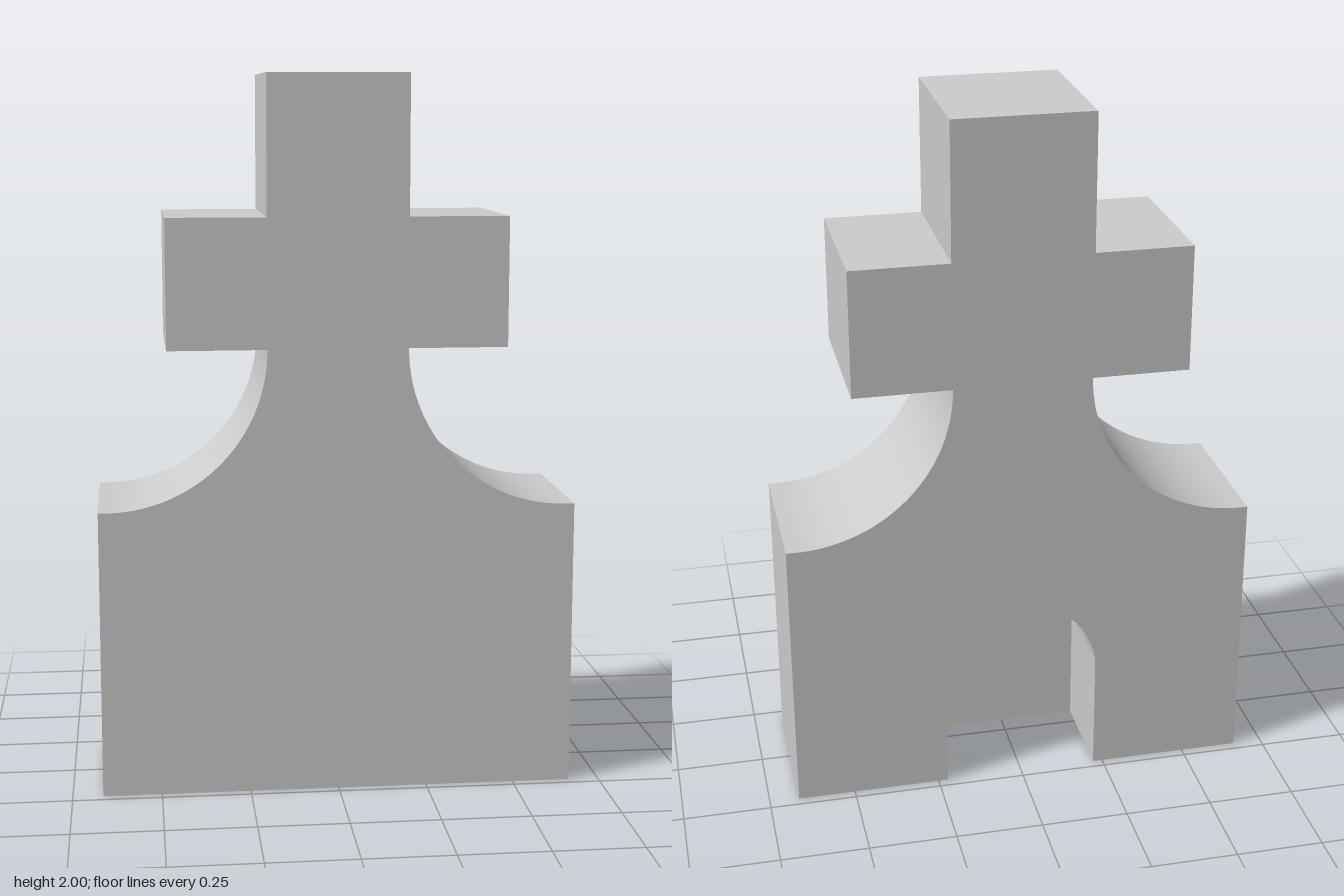
import * as THREE from 'three';
import { mergeGeometries, toCreasedNormals } from 'three/addons/utils/BufferGeometryUtils.js';

const FRONT = 0.223, BACK = -0.223, RECESS = 0.057; // z of the faces and of the recess panel
const DOOR = 0.222, SPRING = 0.335;                 // arch radius and spring height

// Arched doorway path, from its left foot over the top to its right foot
function addArch(path) {
  path.lineTo(-DOOR, SPRING);
  path.absarc(0, SPRING, DOOR, Math.PI, 0, true);
  path.lineTo(DOOR, 0);
}

// Cross-topped silhouette, counter-clockwise, with or without the doorway
function outline(withDoor) {
  const s = new THREE.Shape();
  s.moveTo(-0.665, 0);
  if (withDoor) {
    s.lineTo(-DOOR, 0);
    addArch(s);
  }
  s.lineTo(0.665, 0);
  s.lineTo(0.665, 0.81);
  s.absarc(0.638, 1.255, 0.445, -Math.PI / 2, -Math.PI, true); // right scoop
  s.lineTo(0.469, 1.255);
  s.lineTo(0.469, 1.615);
  s.lineTo(0.193, 1.615);
  s.lineTo(0.193, 2);
  s.lineTo(-0.197, 2);
  s.lineTo(-0.197, 1.615);
  s.lineTo(-0.472, 1.615);
  s.lineTo(-0.472, 1.255);
  s.absarc(-0.642, 1.255, 0.445, 0, -Math.PI / 2, true); // left scoop
  s.lineTo(-0.665, 0.81);
  s.closePath();
  return s;
}

// Wall strip that follows a closed outline between two depths
function wall(shape, z0, z1) {
  const pts = shape.getPoints(32), pos = [];
  pts.forEach((a, i) => {
    const b = pts[(i + 1) % pts.length];
    if (a.distanceTo(b) < 1e-6) return;
    pos.push(a.x, a.y, z0, a.x, a.y, z1, b.x, b.y, z1);
    pos.push(a.x, a.y, z0, b.x, b.y, z1, b.x, b.y, z0);
  });
  const g = new THREE.BufferGeometry();
  g.setAttribute('position', new THREE.Float32BufferAttribute(pos, 3));
  return g;
}

// Flat face at depth z, turned to the front or to the back
function cap(shape, z, toBack) {
  const g = new THREE.ShapeGeometry(shape, 32);
  if (toBack) g.index.array.reverse();
  g.translate(0, 0, z);
  const flat = g.toNonIndexed();
  flat.deleteAttribute('uv');
  flat.deleteAttribute('normal');
  return flat;
}

export function createModel() {
  const full = outline(false), notched = outline(true);
  const door = new THREE.Shape();
  door.moveTo(-DOOR, 0);
  addArch(door);
  door.closePath();

  const material = new THREE.MeshStandardMaterial({ color: 0xcccccc });
  const group = new THREE.Group();
  group.name = 'crossToppedBlock';
  const add = (name, parts) => {
    const mesh = new THREE.Mesh(toCreasedNormals(mergeGeometries(parts), 0.5), material);
    mesh.name = name;
    group.add(mesh);
  };

  // Solid front layer
  add('frontLayer', [cap(full, FRONT, false), wall(full, FRONT, RECESS)]);
  // Rear layer, cut through by the doorway
  add('rearLayer', [cap(notched, BACK, true), wall(notched, RECESS, BACK)]);
  // Panel that closes the doorway recess
  add('recessPanel', [cap(door, RECESS, true)]);
  return group;
}
